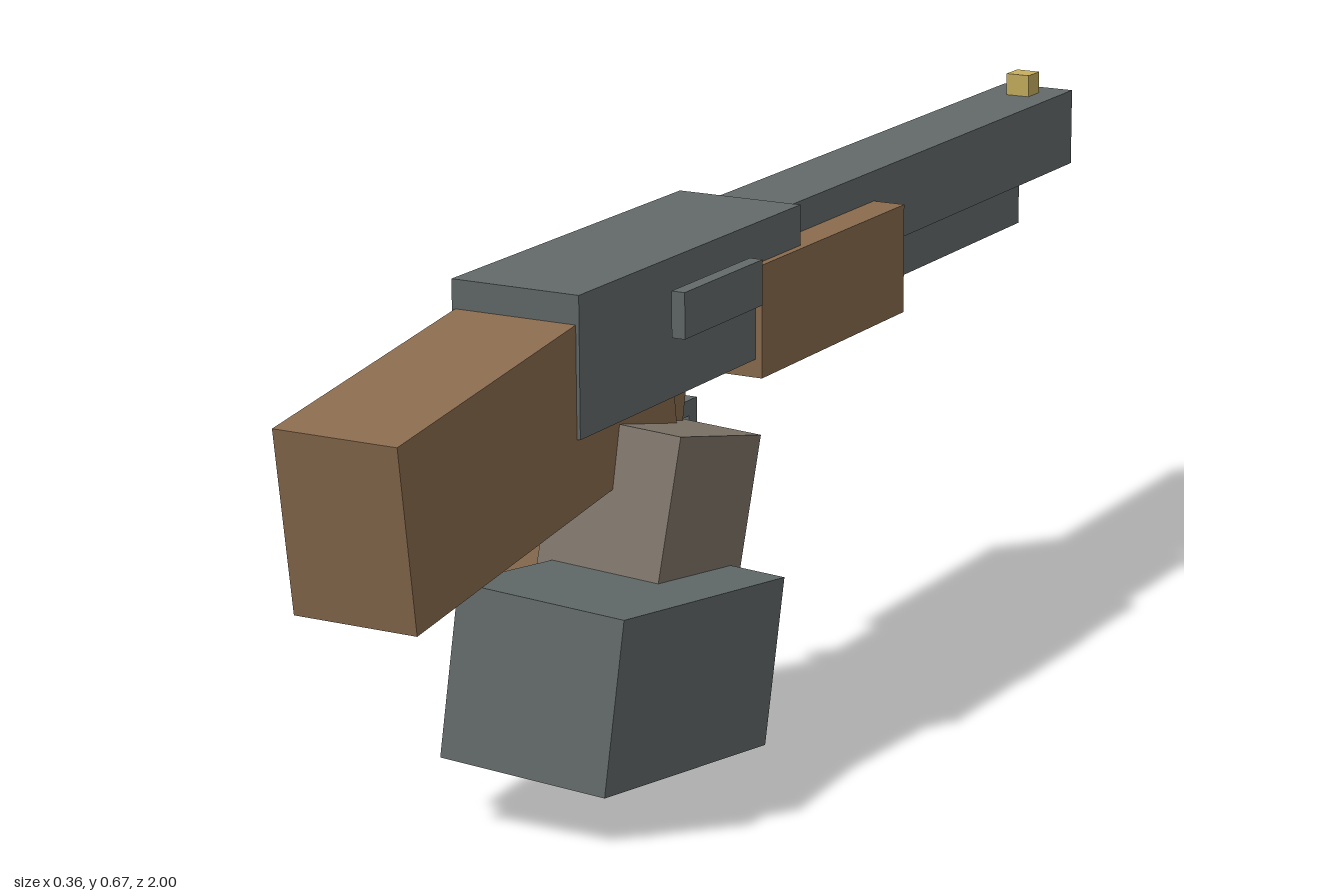
import * as THREE from 'three';

const material = (name, color) => {
  const m = new THREE.MeshStandardMaterial({ color });
  m.name = name;
  return m;
};

export function createModel() {
  const group = new THREE.Group();
  group.name = 'longGun';

  const metal = material('darkMetal', 0x636a6a);
  const wood = material('wood', 0x8b6c4e);
  const taupe = material('taupe', 0x7f766a);
  const brass = material('brass', 0xc8b060);

  // Box from size and centre, with pitch (about x) and roll (about z) in degrees
  const box = (name, mat, size, centre, pitch = 0, roll = 0) => {
    const mesh = new THREE.Mesh(new THREE.BoxGeometry(...size), mat);
    mesh.name = name;
    mesh.position.set(...centre);
    mesh.rotation.set(THREE.MathUtils.degToRad(pitch), 0, THREE.MathUtils.degToRad(roll));
    group.add(mesh);
    return mesh;
  };

  const cx = -0.076; // centre line of the gun

  // Upper body
  box('receiver', metal, [0.192, 0.192, 0.6], [cx, 0.559, 0.28]);
  box('barrel', metal, [0.117, 0.117, 1.0], [cx - 0.002, 0.583, -0.5]);
  box('underBarrelTube', metal, [0.094, 0.066, 0.84], [cx, 0.494, -0.41]);
  box('frontSight', brass, [0.038, 0.036, 0.038], [cx, 0.657, -0.938]);
  box('sidePlate', metal, [0.02, 0.064, 0.215], [0.035, 0.58, 0.2425]);

  // Wooden furniture
  box('foreEnd', wood, [0.212, 0.16, 0.43], [cx, 0.517, -0.105]);
  box('stock', wood, [0.182, 0.252, 0.655], [cx, 0.477, 0.659], 8);
  box('grip', wood, [0.146, 0.34, 0.185], [cx, 0.305, 0.39], -12);

  // Trigger guard
  box('guardBar', metal, [0.112, 0.022, 0.16], [cx - 0.002, 0.415, 0.281]);
  box('guardFront', metal, [0.112, 0.088, 0.022], [cx - 0.002, 0.381, 0.211]);

  // Hand and forearm blocks holding the grip
  box('handBlock', taupe, [0.185, 0.241, 0.223], [0.009, 0.315, 0.39], -13, -3);
  box('forearmBlock', metal, [0.246, 0.231, 0.427], [0.0515, 0.1535, 0.55], -8, -3);

  return group;
}
